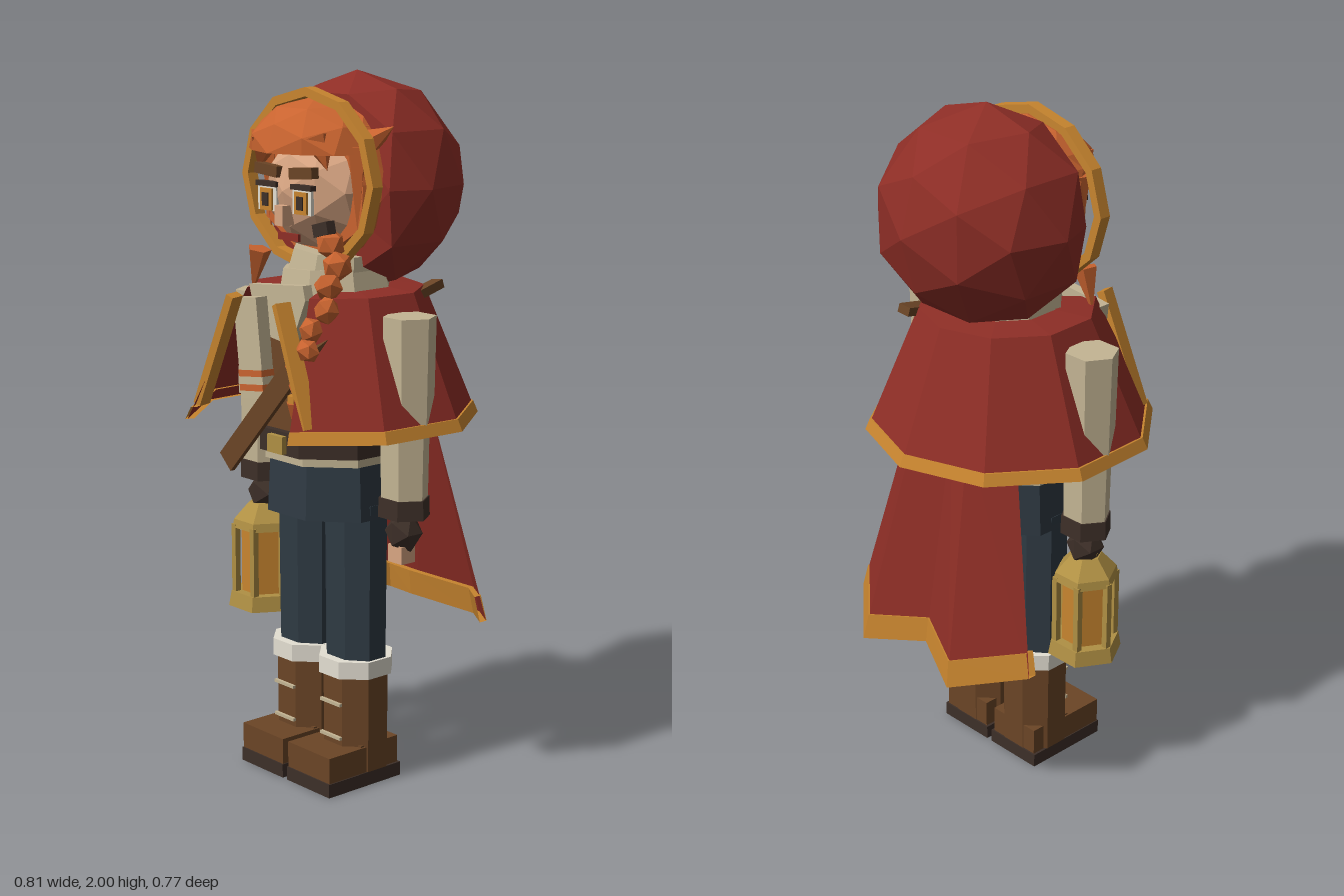
import * as THREE from 'three';

const V = (x, y, z) => new THREE.Vector3(x, y, z);
const mat = (name, color, side = THREE.FrontSide) => {
  const m = new THREE.MeshStandardMaterial({ color, side });
  m.name = name;
  return m;
};

export function createModel() {
  const red = mat('redCloth', 0x8e2e26, THREE.DoubleSide);
  const gold = mat('goldTrim', 0xc8852f, THREE.DoubleSide);
  const hair = mat('gingerHair', 0xc8632f);
  const skin = mat('skin', 0xd9a683);
  const cream = mat('creamWool', 0xc4b594, THREE.DoubleSide);
  const brown = mat('brownLeather', 0x6b4526);
  const dark = mat('darkLeather', 0x3d2f28);
  const navy = mat('navyTrousers', 0x2f3a43);
  const brass = mat('brass', 0xb09044);
  const white = mat('eyeWhite', 0xe4dfd2);

  const model = new THREE.Group();
  model.name = 'hoodedTraveller';

  // Faceted normals for every part
  const flat = (g) => {
    const f = g.index ? g.toNonIndexed() : g;
    f.computeVertexNormals();
    return f;
  };
  const add = (name, geo, m, x = 0, y = 0, z = 0, parent = model) => {
    const mesh = new THREE.Mesh(flat(geo), m);
    mesh.name = name;
    mesh.position.set(x, y, z);
    parent.add(mesh);
    return mesh;
  };
  const box = (name, m, w, h, d, x, y, z, parent) => add(name, new THREE.BoxGeometry(w, h, d), m, x, y, z, parent);
  // Upright prism with a flat side facing forward
  const prism = (name, m, sides, rTop, rBot, y0, y1, x, z, sx = 1, sz = 1, parent = model) => {
    const g = new THREE.CylinderGeometry(rTop, rBot, y1 - y0, sides);
    g.rotateY(Math.PI / sides);
    g.scale(sx, 1, sz);
    return add(name, g, m, x, (y0 + y1) / 2, z, parent);
  };
  // Box stretched between two points
  const bar = (name, m, a, b, w, d, parent) => {
    const dir = b.clone().sub(a);
    const mesh = box(name, m, w, dir.length(), d, 0, 0, 0, parent);
    mesh.position.copy(a).add(b).multiplyScalar(0.5);
    mesh.quaternion.setFromUnitVectors(V(0, 1, 0), dir.normalize());
    return mesh;
  };
  // Faceted ball, optionally cut flat by limits
  const ball = (name, m, r, x, y, z, s = [1, 1, 1], limit = {}, detail = 1) => {
    const g = new THREE.IcosahedronGeometry(r, detail);
    g.scale(...s);
    const p = g.attributes.position;
    for (let i = 0; i < p.count; i++) {
      if (limit.maxZ !== undefined) p.setZ(i, Math.min(p.getZ(i), limit.maxZ));
      if (limit.minY !== undefined) p.setY(i, Math.max(p.getY(i), limit.minY));
    }
    return add(name, g, m, x, y, z);
  };
  // Skin between rows of points
  const loft = (name, m, rows) => {
    const pts = [];
    for (let i = 0; i < rows.length - 1; i++) {
      for (let j = 0; j < rows[i].length - 1; j++) {
        const [a, b, c, d] = [rows[i][j], rows[i][j + 1], rows[i + 1][j], rows[i + 1][j + 1]];
        pts.push(a, c, b, b, c, d);
      }
    }
    return add(name, new THREE.BufferGeometry().setFromPoints(pts), m);
  };
  const mix = (a, b, t) => a.map((p, i) => p.clone().lerp(b[i], t));
  const grow = (row, s) => row.map((p) => V(p.x * s, p.y, p.z * s));

  // Legs and boots
  for (const s of [-1, 1]) {
    const x = s * 0.102;
    const side = s > 0 ? 'left' : 'right';
    prism(side + 'Leg', navy, 8, 0.104, 0.1, 0.36, 0.82, x, 0.035, 1, 0.8);
    prism(side + 'BootCuff', white, 8, 0.108, 0.108, 0.32, 0.37, x, 0.034, 1.02, 1.02);
    prism(side + 'BootShaft', brown, 8, 0.1, 0.098, 0.04, 0.33, x, 0.034, 1.03, 0.95);
    box(side + 'BootHeel', brown, 0.17, 0.08, 0.14, x, 0.08, 0.02);
    box(side + 'BootToe', brown, 0.18, 0.075, 0.14, x, 0.078, 0.142);
    box(side + 'Sole', dark, 0.185, 0.04, 0.27, x, 0.02, 0.08);
    for (const y of [0.14, 0.24]) box(side + 'BootLace', cream, 0.085, 0.009, 0.009, x, y, 0.128);
  }

  // Hips, shirt hem, belt and vest
  prism('hips', navy, 8, 0.205, 0.215, 0.78, 0.95, 0, 0.03, 1, 0.87);
  prism('shirtHem', cream, 8, 0.208, 0.208, 0.935, 0.965, 0, 0.035, 1, 0.92);
  prism('belt', dark, 8, 0.215, 0.215, 0.96, 1.025, 0, 0.04, 1.02, 0.95);
  box('buckle', brass, 0.065, 0.05, 0.02, 0, 0.99, 0.235);
  prism('vest', brown, 8, 0.2, 0.215, 1.02, 1.39, 0, 0.03, 1, 0.9);
  bar('chestStrap', brown, V(-0.19, 0.91, 0.262), V(0.17, 1.29, 0.262), 0.065, 0.015);
  bar('strapShoulder', brown, V(0.17, 1.28, 0.26), V(0.19, 1.39, 0.05), 0.05, 0.015);
  bar('strapEnd', brown, V(0.18, 1.37, -0.05), V(0.16, 1.41, -0.22), 0.04, 0.025);

  // Scarf with front drape and hanging end
  prism('neck', skin, 8, 0.08, 0.09, 1.36, 1.54, 0, 0);
  prism('scarf', cream, 8, 0.15, 0.17, 1.37, 1.47, 0.01, 0.03).rotation.z = 0.05;
  prism('scarfUpper', cream, 8, 0.13, 0.15, 1.43, 1.52, 0.02, 0.03).rotation.z = -0.1;
  const drape = new THREE.Shape([[-0.13, 1.42], [-0.09, 1.29], [0.05, 1.27], [0.11, 1.4], [0.1, 1.44]].map((p) => new THREE.Vector2(...p)));
  add('scarfDrape', new THREE.ExtrudeGeometry(drape, { depth: 0.03, bevelEnabled: false }), cream, 0, 0, 0.195);
  const flap = new THREE.Group();
  flap.name = 'scarfEnd';
  flap.position.set(-0.085, 1.25, 0.245);
  flap.rotation.z = 0.12;
  model.add(flap);
  box('scarfEndCloth', cream, 0.1, 0.28, 0.04, 0, 0, 0, flap);
  for (const y of [-0.07, -0.11]) box('scarfStripe', hair, 0.101, 0.018, 0.045, 0, y, 0, flap);

  // Arms, cuffs and gloved hands
  for (const s of [-1, 1]) {
    const side = s > 0 ? 'left' : 'right';
    prism(side + 'UpperArm', cream, 6, 0.078, 0.072, 1.06, 1.365, s * 0.315, 0.032, 0.95, 0.95);
    prism(side + 'Forearm', cream, 6, 0.074, 0.07, 0.85, 1.08, s * 0.302, 0.035, 1, 0.9);
    prism(side + 'Cuff', dark, 6, 0.076, 0.078, 0.81, 0.865, s * 0.3, 0.035, 1, 0.9);
    ball(side + 'Glove', dark, 0.058, s * 0.3, 0.765, 0.035, [0.95, 1.05, 0.9], {}, 0);
    box(side + 'Fingers', skin, 0.055, 0.05, 0.05, s * 0.297, 0.705, 0.04);
  }

  // Lantern in the right hand
  const lantern = new THREE.Group();
  lantern.name = 'lantern';
  lantern.position.set(-0.3, 0, 0.04);
  model.add(lantern);
  prism('lanternBase', brass, 6, 0.1, 0.108, 0.42, 0.465, 0, 0, 1, 1, lantern);
  prism('lanternGlass', gold, 6, 0.068, 0.068, 0.465, 0.67, 0, 0, 1, 1, lantern);
  prism('lanternRim', brass, 6, 0.09, 0.095, 0.66, 0.685, 0, 0, 1, 1, lantern);
  prism('lanternRoof', brass, 6, 0.045, 0.09, 0.685, 0.735, 0, 0, 1, 1, lantern);
  for (let i = 0; i < 6; i++) {
    const a = (i + 0.5) * Math.PI / 3;
    box('lanternPost', brass, 0.018, 0.21, 0.018, Math.sin(a) * 0.085, 0.565, Math.cos(a) * 0.085, lantern);
  }
  add('lanternHandle', new THREE.TorusGeometry(0.035, 0.008, 4, 8), brass, 0, 0.75, 0, lantern);

  // Shoulder cape, open at the front
  const radii = [[-150, 0.443], [-115, 0.43], [-78, 0.41], [-39, 0.387], [0, 0.385], [39, 0.387], [78, 0.41], [115, 0.43], [150, 0.443]];
  const ring = (scale, y) => radii.map(([deg, r]) => {
    const a = deg * Math.PI / 180;
    return V(Math.sin(a) * r * scale, y, -Math.cos(a) * r * scale);
  });
  const capeTop = ring(0.6, 1.41);
  const capeHem = ring(0.985, 1.045);
  loft('shoulderCape', red, [ring(0.36, 1.42), capeTop, capeHem]);
  const hemTop = mix(capeTop, capeHem, 0.91);
  loft('shoulderCapeHem', gold, [grow(hemTop, 0.97), grow(hemTop, 1.015), grow(capeHem, 1.015), grow(capeHem, 0.96)]);
  for (const s of [-1, 1]) {
    bar('capeFrontTrim', gold, V(s * 0.1, 1.4, 0.3), V(s * 0.235, 1.08, 0.315), 0.024, 0.045);
  }

  // Long folded cloak at the back
  const mirror = (half) => [...half.map(([x, y, z]) => V(-x, y, z)), ...half.slice(0, -1).reverse().map(([x, y, z]) => V(x, y, z))];
  const cloakTop = mirror([[0.2, 1.12, -0.14], [0.1, 1.12, -0.225], [0, 1.12, -0.19]]);
  const cloakHem = mirror([[0.355, 0.465, -0.235], [0.18, 0.42, -0.383], [0, 0.455, -0.3]]);
  loft('cloak', red, [cloakTop, cloakHem]);
  const trimTop = mix(cloakTop, cloakHem, 0.89);
  const shift = (row, dz) => row.map((p) => V(p.x, p.y, p.z + dz));
  loft('cloakHem', gold, [shift(trimTop, 0.02), shift(trimTop, -0.005), shift(cloakHem, -0.002), shift(cloakHem, 0.025), shift(trimTop, 0.02)]);

  // Hood with gold rim
  ball('hood', red, 0.305, 0, 1.695, -0.058, [1, 1, 1], { maxZ: 0.115 });
  const poly = (rx, ry) => Array.from({ length: 12 }, (_, i) => {
    const a = i * Math.PI / 6;
    return new THREE.Vector2(Math.sin(a) * rx, Math.cos(a) * ry);
  });
  const rim = new THREE.Shape(poly(0.275, 0.25));
  rim.holes.push(new THREE.Path(poly(0.25, 0.225)));
  add('hoodRim', new THREE.ExtrudeGeometry(rim, { depth: 0.035, bevelEnabled: false }), gold, 0, 1.71, 0.095);

  // Head and hair
  ball('hairBack', hair, 0.245, 0, 1.71, 0.03, [1, 0.96, 1], { maxZ: 0.075 });
  ball('face', skin, 0.19, 0, 1.685, 0.035, [1, 0.98, 0.93]);
  ball('fringe', hair, 0.2, 0, 1.79, 0.09, [1.05, 0.72, 0.87], { minY: 0.0 });
  const tuft = (name, x, y, z, r, h, rz, rx = 0) => {
    add(name, new THREE.ConeGeometry(r, h, 5), hair, x, y, z).rotation.set(rx, 0, rz);
  };
  tuft('frontLock', -0.11, 1.78, 0.19, 0.05, 0.1, 2.8);
  tuft('frontLock', 0.13, 1.79, 0.18, 0.045, 0.09, -2.7);
  tuft('strayTuft', 0.235, 1.845, 0.06, 0.035, 0.1, -1.1);
  tuft('sideLock', -0.185, 1.68, 0.1, 0.035, 0.26, Math.PI);
  tuft('sideLock', 0.185, 1.68, 0.1, 0.035, 0.26, Math.PI);
  tuft('neckLock', -0.155, 1.45, 0.18, 0.035, 0.13, 2.9);

  // Facial features
  for (const s of [-1, 1]) {
    const x = s * 0.073;
    box('eyeWhite', white, 0.078, 0.07, 0.009, x, 1.662, 0.2);
    box('iris', gold, 0.05, 0.06, 0.008, x, 1.658, 0.206);
    box('pupil', dark, 0.024, 0.036, 0.008, x, 1.658, 0.21);
    box('eyelid', dark, 0.085, 0.014, 0.02, x, 1.7, 0.2);
    box('eyebrow', brown, 0.095, 0.03, 0.025, x, 1.738, 0.198).rotation.z = s * 0.08;
  }
  box('nose', skin, 0.035, 0.055, 0.04, 0, 1.62, 0.205);
  box('mouth', red, 0.085, 0.02, 0.009, 0, 1.56, 0.188);
  box('chinClasp', dark, 0.06, 0.035, 0.03, 0.118, 1.59, 0.165).rotation.z = 0.25;

  // Braid over the left shoulder
  const path = new THREE.CatmullRomCurve3([V(0.14, 1.55, 0.15), V(0.195, 1.46, 0.2), V(0.195, 1.36, 0.25), V(0.17, 1.27, 0.285), V(0.16, 1.19, 0.3)]);
  for (let i = 0; i < 8; i++) {
    const p = path.getPoint(i / 7);
    const bead = ball('braidKnot', hair, 0.046 - i * 0.002, p.x + (i % 2 ? 0.013 : -0.013), p.y, p.z, [1, 0.95, 0.85], {}, 0);
    bead.rotation.set(0.3 * i, 0.5 * i, i % 2 ? 0.5 : -0.5);
  }
  prism('braidTie', gold, 6, 0.024, 0.024, 1.135, 1.16, 0.16, 0.3);
  tuft('braidTail', 0.162, 1.09, 0.3, 0.032, 0.1, Math.PI);

  return model;
}
